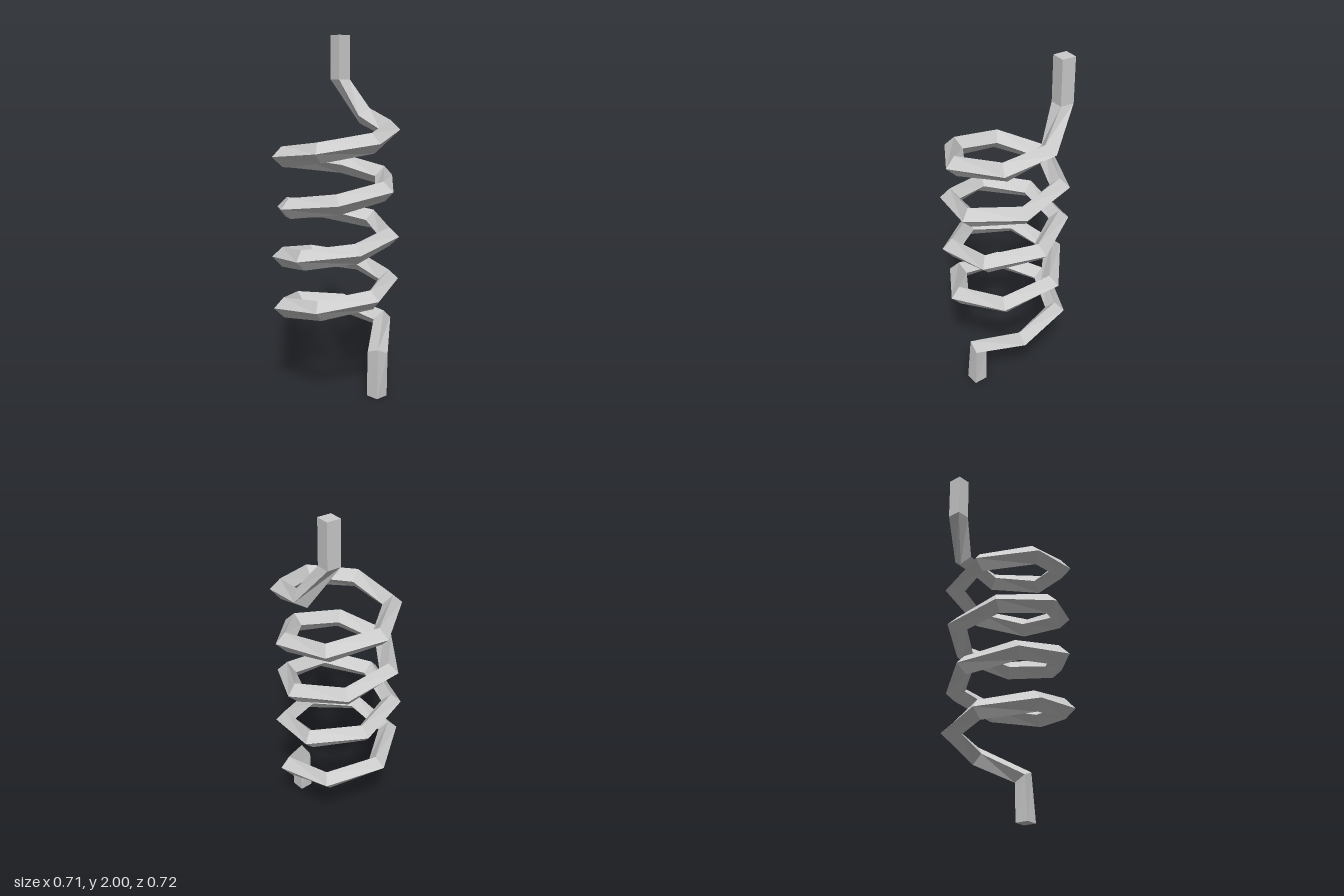
import * as THREE from 'three';

const RADIUS = 0.303;      // coil centreline radius
const HALF = 0.056;        // half diagonal of the square wire
const STEP = THREE.MathUtils.degToRad(1080 / 19);
const rad = THREE.MathUtils.degToRad;

// Centreline stations: position and the angle (from +x towards +z) of the outer wire edge
function wireStations() {
  const stations = [];
  const add = (x, y, z, angle) => stations.push({ p: new THREE.Vector3(x, y, z), angle });

  // bottom leg
  add(0.27, 0, 0, rad(-30));
  add(0.267, 0.25, -0.012, rad(-30));

  // coil, rising from bottom to top
  for (let k = 25; k >= 0; k--) {
    const a = rad(360 / 19) + (k - 1) * STEP;
    add(RADIUS * Math.cos(a), 1.44 - (k - 1) * 0.0447, RADIUS * Math.sin(a), a);
  }

  // bend and top leg
  add(0.018, 1.545, -0.295, rad(-87));
  add(-0.13, 1.75, -0.268, rad(-115));
  add(-0.13, 2, -0.268, rad(-115));
  return stations;
}

// Sweep a square along the stations, with its corners at outer, top, inner and bottom
function wireGeometry(stations) {
  const positions = [];
  const last = stations.length - 1;
  const up = new THREE.Vector3(0, 1, 0);
  const dir = (i) => stations[i + 1].p.clone().sub(stations[i].p).normalize();

  const rings = stations.map(({ p, angle }, i) => {
    const vertical = i === 0 || i >= last - 1;
    const t = vertical ? up.clone() : dir(i - 1).add(dir(i)).normalize();
    const n = new THREE.Vector3(Math.cos(angle), 0, Math.sin(angle));
    n.addScaledVector(t, -n.dot(t)).normalize();
    const b = new THREE.Vector3().crossVectors(t, n);
    return [[n, 1], [b, 1], [n, -1], [b, -1]].map(([v, s]) => p.clone().addScaledVector(v, s * HALF));
  });

  const quad = (a, b, c, d) => [a, b, c, a, c, d].forEach((v) => positions.push(v.x, v.y, v.z));
  for (let i = 0; i < last; i++) {
    for (let j = 0; j < 4; j++) {
      const k = (j + 1) % 4;
      quad(rings[i][j], rings[i][k], rings[i + 1][k], rings[i + 1][j]);
    }
  }
  // end caps
  quad(...[...rings[0]].reverse());
  quad(...rings[last]);

  const geometry = new THREE.BufferGeometry();
  geometry.setAttribute('position', new THREE.Float32BufferAttribute(positions, 3));
  geometry.computeVertexNormals();
  return geometry;
}

export function createModel() {
  const group = new THREE.Group();
  group.name = 'spring';

  const metal = new THREE.MeshStandardMaterial({ color: 0xcccccc });
  metal.name = 'light grey metal';
  metal.flatShading = true;

  const wire = new THREE.Mesh(wireGeometry(wireStations()), metal);
  wire.name = 'coiledWire';
  group.add(wire);
  return group;
}
